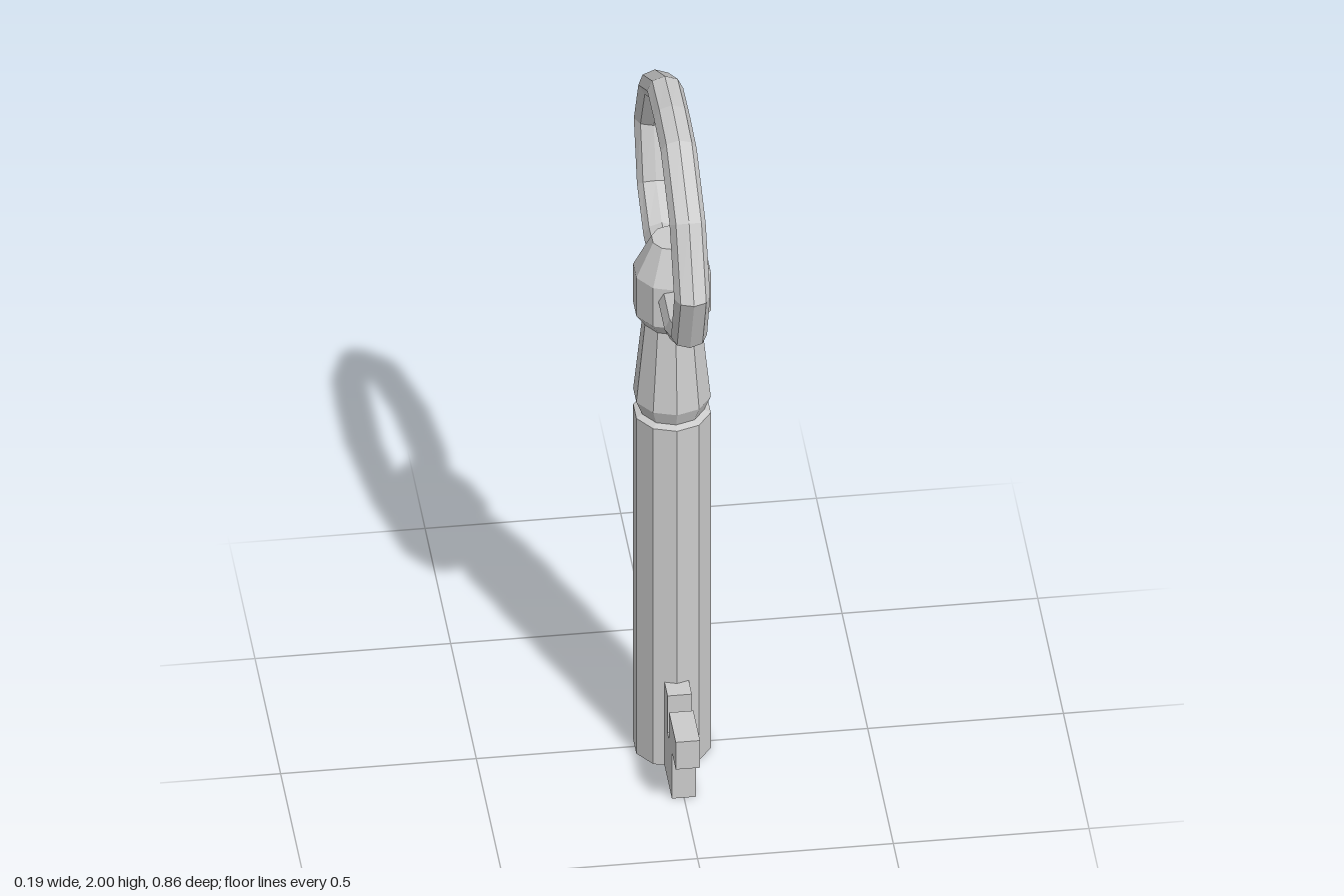
import * as THREE from 'three';

const material = new THREE.MeshStandardMaterial({ color: 0xcccccc, flatShading: true });

function addMesh(group, name, geometry) {
  const mesh = new THREE.Mesh(geometry, material);
  mesh.name = name;
  group.add(mesh);
}

// Ten-sided turned part from [radius, y] pairs, bottom to top
function turned(profile) {
  return new THREE.LatheGeometry(profile.map(([r, y]) => new THREE.Vector2(r, y)), 10);
}

// Oval ring in the zy plane, swept between an outer and an inner outline
function ringGeometry() {
  // half outline, top to bottom: outer z, outer y, inner z, inner y
  const half = [
    [0, 2.0, 0, 1.92], [0.14, 1.99, 0.125, 1.917], [0.335, 1.87, 0.275, 1.825],
    [0.432, 1.68, 0.355, 1.68], [0.355, 1.495, 0.31, 1.54], [0.21, 1.41, 0.2, 1.488],
    [0, 1.41, 0, 1.488],
  ];
  const mirrored = half.slice(1, -1).reverse().map(([a, b, c, d]) => [-a, b, -c, d]);
  const loop = [...half, ...mirrored];
  const sides = 8, halfWidth = 0.046;
  const positions = [], index = [];
  loop.forEach(([oz, oy, iz, iy], i) => {
    const next = (i + 1) % loop.length;
    for (let j = 0; j < sides; j++) {
      const a = (j / sides) * Math.PI * 2;
      const t = (1 + Math.cos(a)) / 2;
      positions.push(halfWidth * Math.sin(a), iy + (oy - iy) * t, iz + (oz - iz) * t);
      const k = (j + 1) % sides;
      const p = i * sides + j, q = next * sides + j;
      const r = i * sides + k, s = next * sides + k;
      index.push(p, q, r, r, q, s);
    }
  });
  const geometry = new THREE.BufferGeometry();
  geometry.setAttribute('position', new THREE.Float32BufferAttribute(positions, 3));
  geometry.setIndex(index);
  geometry.computeVertexNormals();
  return geometry;
}

// Notched bit: outline in (z, y), extruded across x
function bitGeometry() {
  const outline = [
    [0.05, 0], [0.235, 0], [0.235, 0.145], [0.31, 0.145], [0.31, 0.23], [0.18, 0.23],
    [0.18, 0.145], [0.15, 0.145], [0.15, 0.26], [0.05, 0.26],
  ];
  const shape = new THREE.Shape(outline.map(([z, y]) => new THREE.Vector2(z, y)));
  const width = 0.062;
  return new THREE.ExtrudeGeometry(shape, { depth: width, bevelEnabled: false })
    .translate(0, 0, -width / 2)
    .rotateY(-Math.PI / 2);
}

export function createModel() {
  const key = new THREE.Group();
  key.name = 'key';

  addMesh(key, 'shaft', turned([[0, 0], [0.1, 0], [0.1, 1.05], [0.083, 1.058], [0, 1.058]]));

  // Flared neck, collar and tapered head
  addMesh(key, 'neckAndHead', turned([
    [0, 1.055], [0.082, 1.055], [0.1, 1.1], [0.076, 1.335], [0.1, 1.37],
    [0.1, 1.49], [0.053, 1.585], [0, 1.585],
  ]));

  addMesh(key, 'bow', ringGeometry());
  addMesh(key, 'bit', bitGeometry());
  return key;
}
